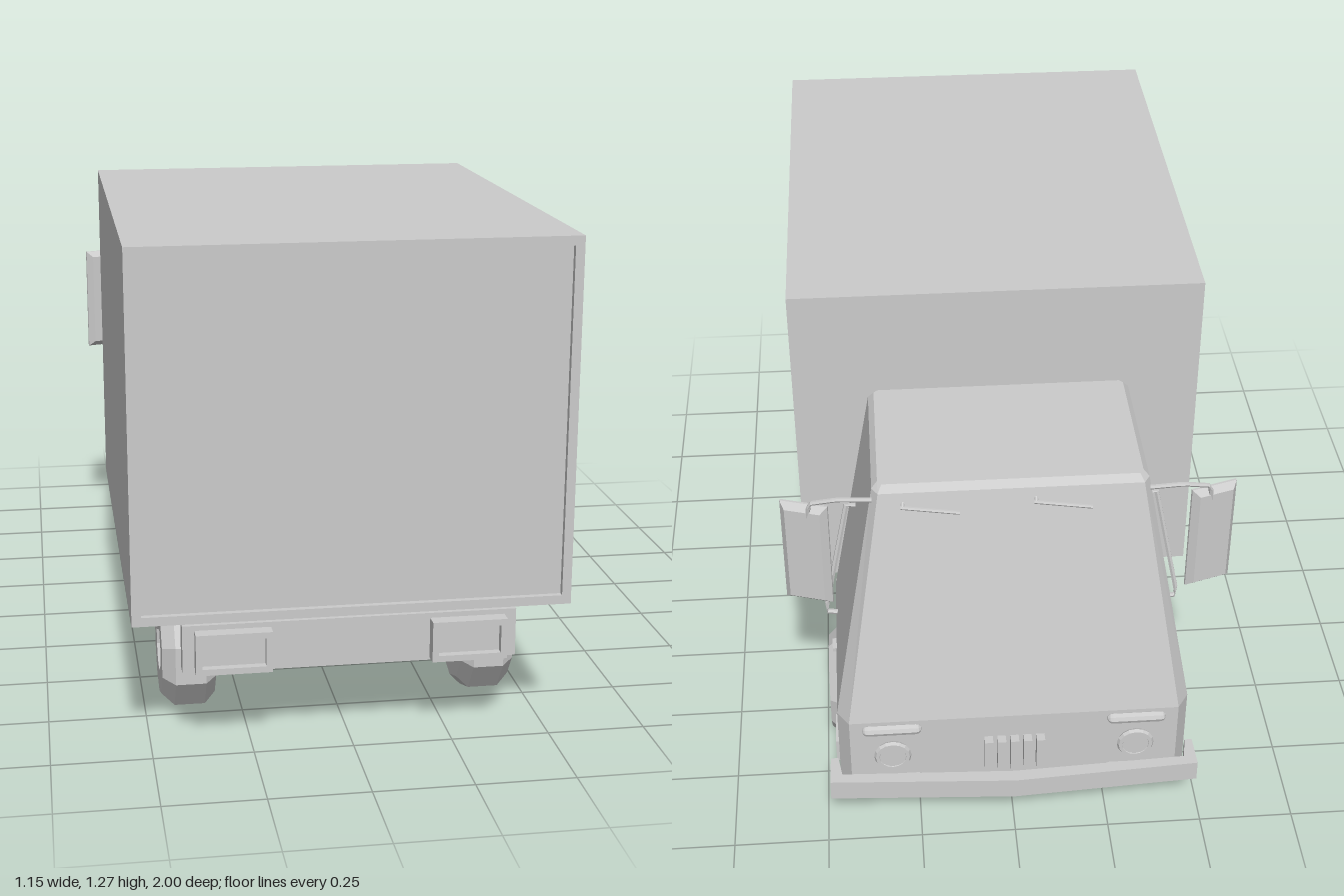
import * as THREE from 'three';

const mat = new THREE.MeshStandardMaterial({ color: 0xcccccc, flatShading: true });

export function createModel() {
  const root = new THREE.Group();

  const add = (name, geo, x = 0, y = 0, z = 0) => {
    const m = new THREE.Mesh(geo, mat);
    m.name = name;
    m.position.set(x, y, z);
    root.add(m);
    return m;
  };
  // box given by its min and max on each axis
  const box = (name, x0, x1, y0, y1, z0, z1) =>
    add(name, new THREE.BoxGeometry(x1 - x0, y1 - y0, z1 - z0), (x0 + x1) / 2, (y0 + y1) / 2, (z0 + z1) / 2);
  const shapeOf = (pts) => new THREE.Shape(pts.map(([a, b]) => new THREE.Vector2(a, b)));
  const rect = (w, h) => shapeOf([[-w, -h], [w, -h], [w, h], [-w, h]]);
  const extrude = (shape, depth, bevel = 0) => new THREE.ExtrudeGeometry(shape, {
    depth, bevelEnabled: bevel > 0, bevelSize: bevel, bevelThickness: bevel, bevelOffset: -bevel, bevelSegments: 1,
  });
  const frame = (w, h, t, depth) => {
    const s = rect(w, h);
    s.holes.push(rect(w - t, h - t));
    return extrude(s, depth);
  };
  const rod = (name, r, ...pts) => {
    const path = new THREE.CurvePath();
    const v = pts.map((p) => new THREE.Vector3(...p));
    for (let i = 1; i < v.length; i++) path.add(new THREE.LineCurve3(v[i - 1], v[i]));
    return add(name, new THREE.TubeGeometry(path, 4 * (v.length - 1), r, 6));
  };
  // loft through rings of equal point count, capped at both ends
  const loft = (rings) => {
    const pos = [];
    const tri = (...p) => p.forEach((q) => pos.push(...q));
    const n = rings[0].length;
    for (let i = 0; i + 1 < rings.length; i++) {
      for (let j = 0; j < n; j++) {
        const k = (j + 1) % n, a = rings[i], b = rings[i + 1];
        tri(a[j], b[k], a[k]);
        tri(a[j], b[j], b[k]);
      }
    }
    const lo = rings[0], hi = rings[rings.length - 1];
    for (let j = 1; j + 1 < n; j++) {
      tri(lo[0], lo[j], lo[j + 1]);
      tri(hi[0], hi[j + 1], hi[j]);
    }
    const g = new THREE.BufferGeometry();
    g.setAttribute('position', new THREE.Float32BufferAttribute(pos, 3));
    g.computeVertexNormals();
    return g;
  };

  // cargo body with a raised rim around the rear door
  box('cargoBox', -0.545, 0.545, 0.35, 1.275, -0.31, 0.985);
  add('cargoDoorFrame', frame(0.545, 0.4625, 0.023, 0.015), 0, 0.8125, 0.985);

  // upper cab: tapering rings with chamfered corners
  const ring = (y, w, zb, zf, cb, cx, cz) => [
    [w, y, zb - cb], [w - cb, y, zb], [cb - w, y, zb], [-w, y, zb - cb],
    [-w, y, zf + cz], [cx - w, y, zf], [w - cx, y, zf], [w, y, zf + cz],
  ];
  add('cabUpper', loft([
    ring(0.37, 0.46, -0.36, -0.94, 0.015, 0.03, 0.045),
    ring(1.005, 0.345, -0.36, -0.795, 0.015, 0.015, 0.025),
    ring(1.022, 0.33, -0.372, -0.778, 0.01, 0.01, 0.015),
  ]));

  // lower cab: slabs side by side, the outer ones notched for the wheels
  const wheelZ = -0.555, wheelY = 0.163;
  const slab = (name, x0, x1, arch, zf0, zf1) => {
    const pts = [[-0.36, 0.11], [-0.36, 0.37], [-0.94, 0.37], [-0.94, 0.11]];
    if (arch) {
      const r = arch, low = Math.asin((wheelY - 0.11) / r);
      for (let i = 0; i <= 8; i++) {
        const a = Math.PI + low - (i / 8) * (Math.PI + 2 * low);
        pts.push([wheelZ + r * Math.cos(a), wheelY + r * Math.sin(a)]);
      }
    }
    const g = extrude(shapeOf(pts), x1 - x0);
    g.rotateY(-Math.PI / 2).translate(x1, 0, 0);
    const p = g.attributes.position;
    for (let i = 0; i < p.count; i++) {
      if (p.getZ(i) < -0.9) p.setZ(i, Math.abs(p.getX(i) - x0) < 1e-4 ? zf0 : zf1);
    }
    g.computeVertexNormals();
    add(name, g);
  };
  slab('cabFloor', -0.31, 0.31, 0, -0.94, -0.94);
  slab('leftFender', 0.31, 0.43, 0.188, -0.94, -0.94);
  slab('rightFender', -0.43, -0.31, 0.188, -0.94, -0.94);
  slab('leftFenderEdge', 0.43, 0.46, 0.188, -0.94, -0.895);
  slab('rightFenderEdge', -0.46, -0.43, 0.188, -0.895, -0.94);

  // ten-sided wheels with a dished hub
  const profile = [[0, -0.075], [0.13, -0.075], [0.16, -0.045], [0.16, 0.04], [0.128, 0.075],
    [0.066, 0.075], [0.05, 0.05], [0.032, 0.05], [0.02, 0.06], [0, 0.063]];
  const wheelGeo = new THREE.LatheGeometry(profile.map(([r, y]) => new THREE.Vector2(r, y)), 10, Math.PI / 2);
  wheelGeo.rotateZ(-Math.PI / 2);
  for (const s of [1, -1]) {
    const side = s > 0 ? 'left' : 'right';
    for (const [name, x, z, w] of [['FrontWheel', 0.41, wheelZ, 1], ['RearWheel', 0.39, 0.667, 0.92]]) {
      const m = add(side + name, wheelGeo, s * x, wheelY, z);
      m.scale.x = w;
      if (s < 0) m.rotation.y = Math.PI;
    }

    // chassis rail and side tank
    const span = (name, a, b, ...rest) => box(side + name, Math.min(s * a, s * b), Math.max(s * a, s * b), ...rest);
    span('ChassisRail', 0.225, 0.28, 0.2, 0.32, -0.4, 0.93);
    add(side + 'Tank', extrude(rect(0.09, 0.107), 0.37, 0.015), s * 0.372, 0.232, -0.005);

    // rear lamp, side lamp
    span('RearLamp', 0.2, 0.39, 0.207, 0.312, 0.95, 0.965);
    add(side + 'RearLampFrame', frame(0.095, 0.0525, 0.016, 0.022), s * 0.295, 0.2595, 0.963);
    const sideLamp = add(side + 'SideLamp', frame(0.052, 0.035, 0.008, 0.012), s * 0.458, 0.185, -0.8);
    sideLamp.rotation.y = s * Math.PI / 2;

    // headlamp: rim, lens and turn signal above
    const lens = new THREE.CylinderGeometry(0.033, 0.038, 0.02, 14).rotateX(Math.PI / 2);
    add(side + 'Headlamp', lens, s * 0.32, 0.255, -0.942);
    add(side + 'HeadlampRim', new THREE.TorusGeometry(0.04, 0.009, 6, 16), s * 0.32, 0.255, -0.946);
    const signal = new THREE.CapsuleGeometry(0.015, 0.125, 3, 8).rotateZ(Math.PI / 2);
    add(side + 'TurnSignal', signal, s * 0.32, 0.345, -0.942);

    // mirror with chamfered edge, swept back, on a thin arm
    const mirror = add(side + 'Mirror', extrude(rect(0.062, 0.155), 0.006, 0.016), s * 0.515, 0.8, -0.755);
    mirror.rotation.y = -s * 0.3;
    rod(side + 'MirrorArm', 0.006, [s * 0.345, 0.985, -0.79], [s * 0.43, 0.99, -0.79],
      [s * 0.5, 0.97, -0.775], [s * 0.51, 0.9, -0.765]);

    // grab rail and door latch
    rod(side + 'GrabRail', 0.007, [s * 0.38, 0.75, -0.51], [s * 0.415, 0.755, -0.51],
      [s * 0.488, 0.4, -0.53], [s * 0.445, 0.395, -0.53]);
    span('DoorLatch', 0.45, 0.47, 0.363, 0.375, -0.655, -0.615);
  }

  // front wipers lying on the windscreen
  for (const x of [-0.2, 0.13]) {
    rod('wiper', 0.005, [x, 0.95, -0.813], [x + 0.145, 0.97, -0.808]);
    rod('wiperArm', 0.005, [x + 0.14, 0.97, -0.808], [x + 0.14, 0.985, -0.79]);
  }

  // grille bars
  for (let i = -2; i <= 2; i++) box('grilleBar', i * 0.034 - 0.011, i * 0.034 + 0.011, 0.2, 0.3, -0.965, -0.93);

  // bowed front bumper with returned ends
  const half = [[0.485, 0.885], [0.487, 0.972], [0, 1], [-0.487, 0.972], [-0.485, 0.885],
    [-0.465, 0.885], [-0.455, 0.945], [0, 0.965], [0.455, 0.945], [0.465, 0.885]];
  const bumper = extrude(shapeOf(half), 0.06).rotateX(-Math.PI / 2);
  add('frontBumper', bumper, 0, 0.132, 0);
  for (const x of [-0.28, 0.28]) box('bumperBracket', x - 0.03, x + 0.03, 0.14, 0.18, -0.965, -0.92);

  // rear bar, cross members, axles and exhaust
  box('rearBar', -0.42, 0.42, 0.2, 0.325, 0.905, 0.95);
  for (const z of [-0.3, 0.3, 0.62]) box('crossMember', -0.24, 0.24, 0.21, 0.31, z - 0.05, z + 0.05);
  for (const x of [-0.25, 0.25]) box('bodyMount', x - 0.03, x + 0.03, 0.31, 0.355, -0.28, 0.9);
  for (const z of [wheelZ, 0.667]) {
    add('axle', new THREE.CylinderGeometry(0.025, 0.025, 0.7, 8).rotateZ(Math.PI / 2), 0, wheelY, z);
  }
  rod('exhaustPipe', 0.013, [-0.29, 0.163, -0.4], [-0.3, 0.163, -0.36], [-0.41, 0.163, -0.25]);

  return root;
}
